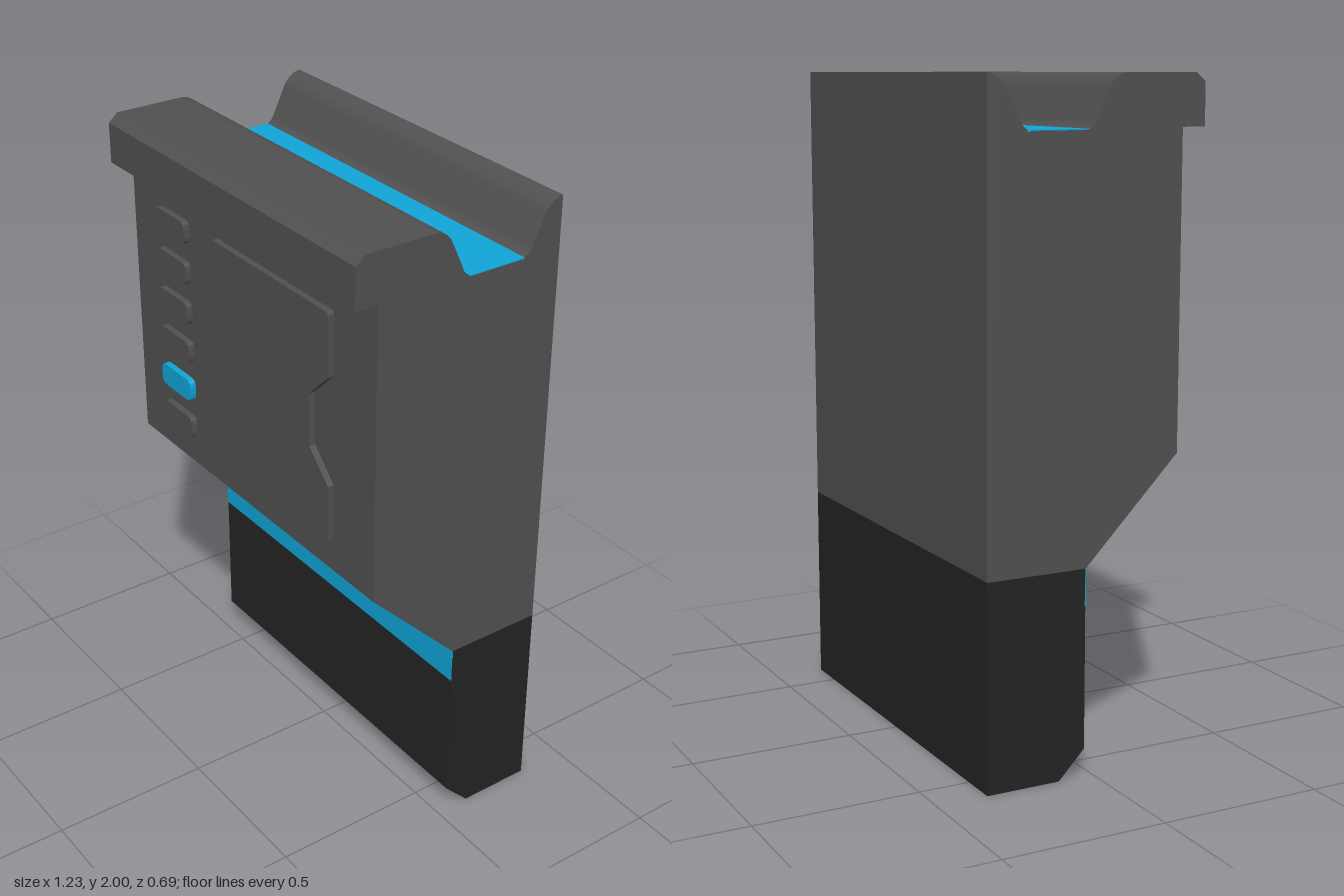
import * as THREE from 'three';
import { toCreasedNormals } from 'three/addons/utils/BufferGeometryUtils.js';

const WIDTH = 1.23;

export function createModel() {
  const group = new THREE.Group();
  const mat = (name, color) => {
    const m = new THREE.MeshStandardMaterial({ color });
    m.name = name;
    return m;
  };
  const grey = mat('grey plastic', 0x515151);
  const dark = mat('dark plastic', 0x242424);
  const blue = mat('blue accent', 0x10a5d8);

  const add = (name, geometry, material) => {
    const mesh = new THREE.Mesh(geometry, material);
    mesh.name = name;
    group.add(mesh);
    return mesh;
  };

  // Side profile (shape x = -z) swept across the full width
  const sweep = (shape) => {
    const g = new THREE.ExtrudeGeometry(shape, { depth: WIDTH, bevelEnabled: false, curveSegments: 6 });
    g.translate(0, 0, -WIDTH / 2).rotateY(Math.PI / 2);
    return toCreasedNormals(g, 0.5);
  };

  // Upper body with overhanging lip and a rounded channel along the top
  const upper = new THREE.Shape();
  upper.moveTo(0.343, 0.62);
  upper.lineTo(0.343, 2);
  upper.quadraticCurveTo(0.303, 1.995, 0.283, 1.955);
  upper.lineTo(0.243, 1.872);
  upper.quadraticCurveTo(0.23, 1.846, 0.205, 1.846);
  upper.lineTo(0.045, 1.846);
  upper.quadraticCurveTo(0.02, 1.846, 0.008, 1.872);
  upper.lineTo(-0.03, 1.955);
  upper.quadraticCurveTo(-0.05, 2, -0.095, 2);
  upper.lineTo(-0.313, 2);
  upper.lineTo(-0.343, 1.974);
  upper.lineTo(-0.343, 1.85);
  upper.lineTo(-0.27, 1.85);
  upper.lineTo(-0.27, 0.925);
  upper.lineTo(0.03, 0.62);
  add('upperBody', sweep(upper), grey);

  // Lower body with a chamfered front foot
  const lower = new THREE.Shape([
    [0.343, 0], [0.343, 0.62], [0.03, 0.62], [0.03, 0.085], [0.113, 0],
  ].map(([x, y]) => new THREE.Vector2(x, y)));
  add('lowerBody', sweep(lower), dark);

  // Blue channel floor and front stripe
  add('channelFloor', new THREE.BoxGeometry(WIDTH, 0.006, 0.192), blue).position.set(0, 1.846, -0.126);
  add('frontStripe', new THREE.BoxGeometry(WIDTH, 0.108, 0.004), blue).position.set(0, 0.564, -0.03);

  // Raised plates on the front face
  const plate = (shape) => new THREE.ExtrudeGeometry(shape, { depth: 0.03, bevelEnabled: false, curveSegments: 3 })
    .translate(0, 0, 0.26);

  // Notched cover panel
  const [l, r, b, t, c] = [-0.155, 0.425, 1.02, 1.755, 0.014];
  const panel = new THREE.Shape();
  panel.moveTo(l + c, b);
  panel.lineTo(r - c, b);
  panel.quadraticCurveTo(r, b, r, b + c);
  panel.lineTo(r, 1.214);
  panel.lineTo(0.335, 1.304);
  panel.lineTo(0.335, 1.473);
  panel.lineTo(r, 1.56);
  panel.lineTo(r, t - c);
  panel.quadraticCurveTo(r, t, r - c, t);
  panel.lineTo(l + c, t);
  panel.quadraticCurveTo(l, t, l, t - c);
  panel.lineTo(l, b + c);
  panel.quadraticCurveTo(l, b, l + c, b);
  add('coverPanel', plate(panel), grey);

  // Column of six buttons, the fifth one blue
  const [w, h, k] = [0.0825, 0.036, 0.022];
  const button = new THREE.Shape();
  button.moveTo(-w + k, -h);
  button.lineTo(w - k, -h);
  button.quadraticCurveTo(w, -h, w, -h + k);
  button.lineTo(w, h - k);
  button.quadraticCurveTo(w, h, w - k, h);
  button.lineTo(-w + k, h);
  button.quadraticCurveTo(-w, h, -w, h - k);
  button.lineTo(-w, -h + k);
  button.quadraticCurveTo(-w, -h, -w + k, -h);
  const buttonGeometry = plate(button);
  for (let i = 0; i < 6; i++) {
    add('button' + (i + 1), buttonGeometry, i === 4 ? blue : grey)
      .position.set(-0.383, 1.715 - i * 0.1316, 0);
  }

  return group;
}
